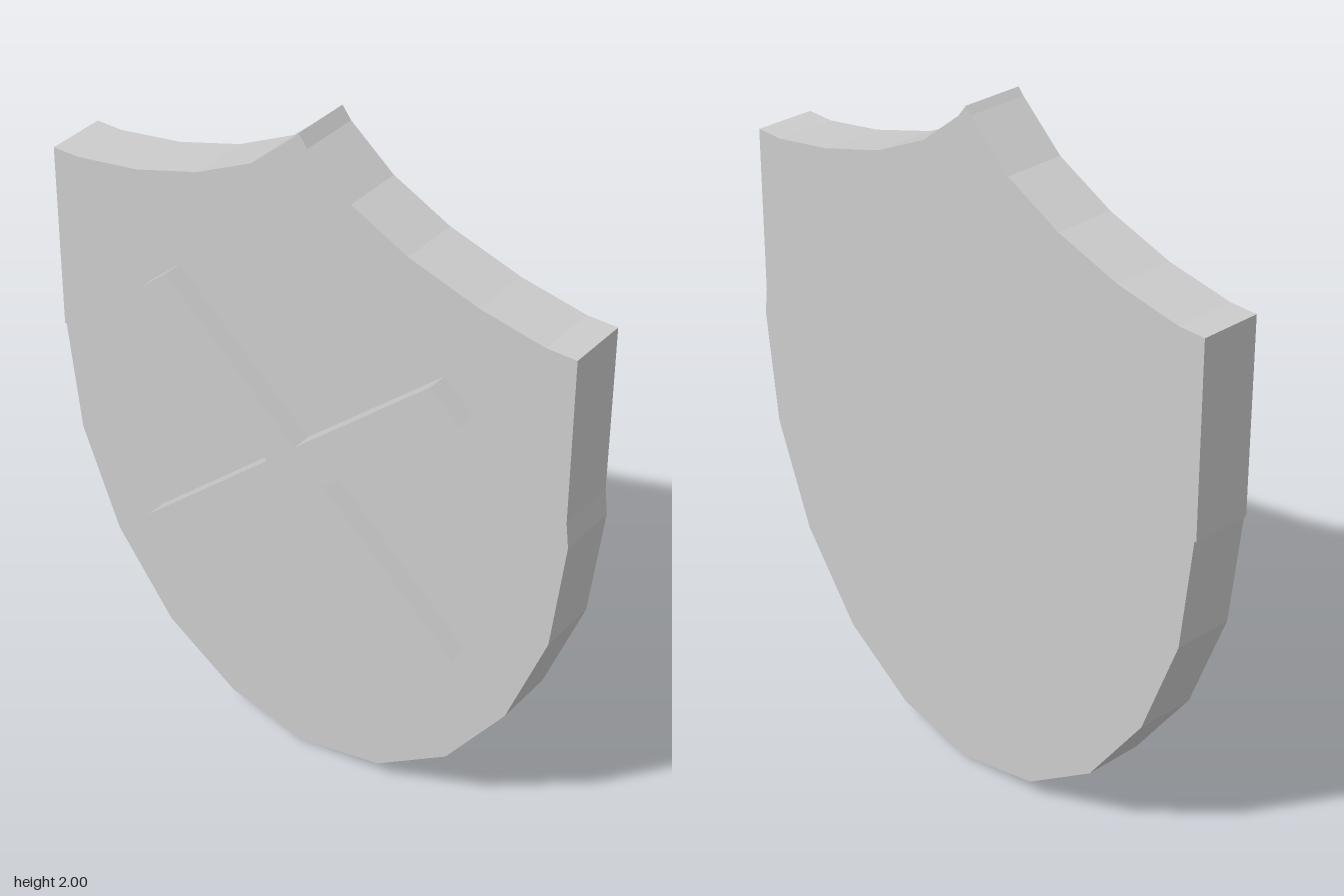
import * as THREE from 'three';

const material = new THREE.MeshStandardMaterial({ color: 0xcccccc, flatShading: true });

// Extrudes a closed outline between two depths
function slab(name, points, zBack, zFront) {
  const shape = new THREE.Shape(points.map(([x, y]) => new THREE.Vector2(x, y)));
  const geometry = new THREE.ExtrudeGeometry(shape, { depth: zFront - zBack, bevelEnabled: false });
  geometry.translate(0, 0, zBack);
  const mesh = new THREE.Mesh(geometry, material);
  mesh.name = name;
  return mesh;
}

export function createModel() {
  const group = new THREE.Group();
  group.name = 'shield';

  // Board: rounded lower half, with slightly uneven sides and a peaked, scooped top edge
  const lowerRight = [[0.26, 0.055], [0.49, 0.21], [0.675, 0.46], [0.795, 0.77], [0.834, 1.105]];
  const lowerLeft = lowerRight.map(([x, y]) => [-x, y]).reverse();
  const topRight = [[0.825, 1.18], [0.825, 1.67], [0.735, 1.67], [0.54, 1.705],
    [0.325, 1.77], [0.15, 1.855], [0.015, 1.965]];
  const topLeft = [[-0.012, 2], [-0.03, 1.98], [-0.165, 1.86], [-0.345, 1.77],
    [-0.55, 1.705], [-0.755, 1.67], [-0.84, 1.67], [-0.84, 1.105]];
  group.add(slab('board', [[0, 0], ...lowerRight, ...topRight, ...topLeft, ...lowerLeft], -0.12, 0.06));

  // Raised diagonal cross on the front, mirrored from one quarter
  const cx = 0.016, cy = 1.003;
  const quarter = [[0.094, 0], [0.522, 0.379], [0.428, 0.462], [0, 0.086]];
  const upper = [...quarter, ...quarter.slice(0, 3).reverse().map(([x, y]) => [-x, y])];
  const lower = upper.slice(1, -1).reverse().map(([x, y]) => [x, -y]);
  const cross = [...upper, ...lower].map(([x, y]) => [cx + x, cy + y]);
  group.add(slab('frontCross', cross, 0.05, 0.12));

  return group;
}
